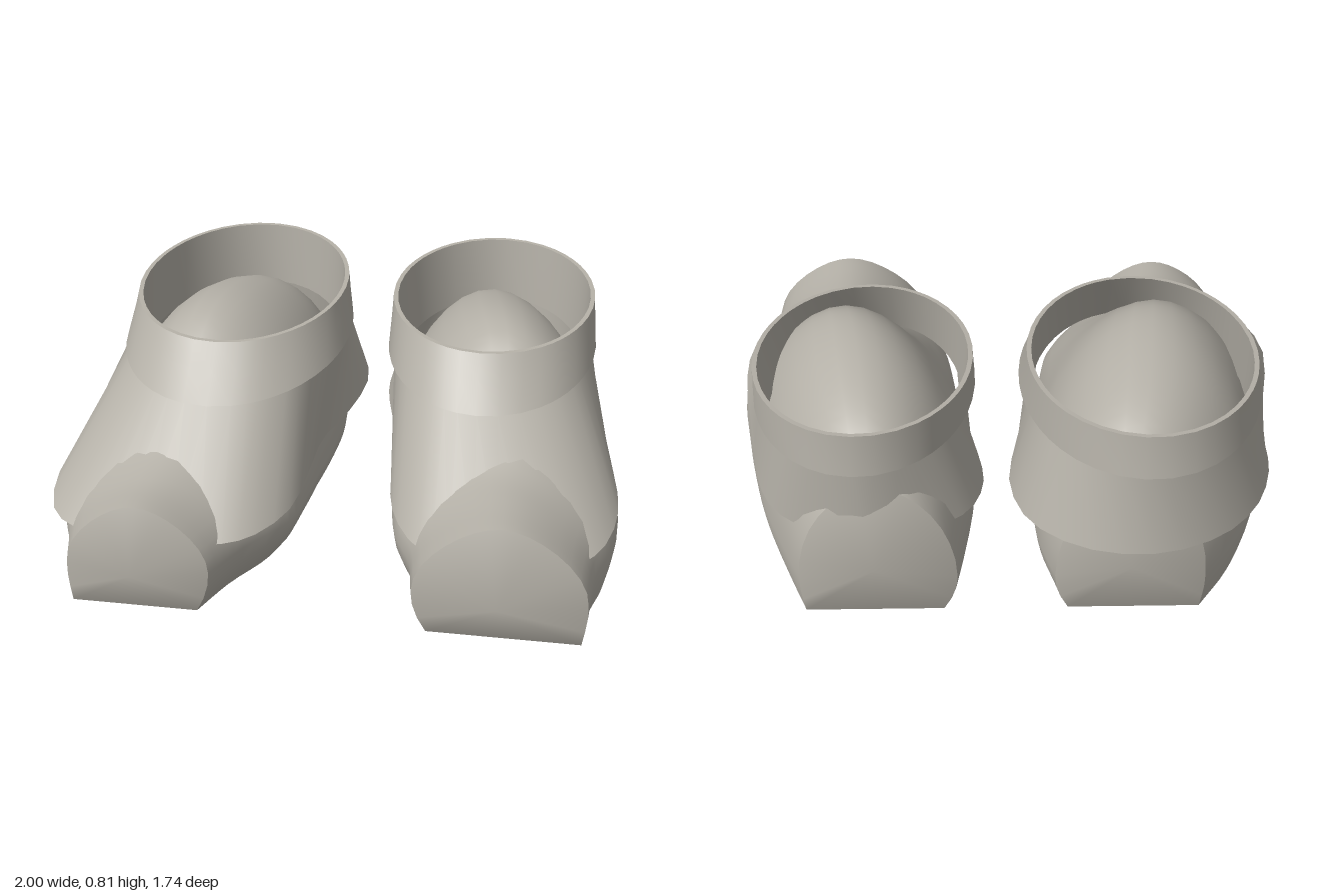
import * as THREE from 'three';

const V = (x, y, z) => new THREE.Vector3(x, y, z);
const grey = new THREE.MeshStandardMaterial({ color: 0xb4b0a7, side: THREE.DoubleSide });
grey.name = 'warm grey';

// Skins rows of points into one smooth surface
function loft(name, rows, closed = false) {
  const n = rows[0].length, index = [];
  const last = closed ? n : n - 1;
  for (let i = 0; i < rows.length - 1; i++) {
    for (let j = 0; j < last; j++) {
      const k = (j + 1) % n;
      const a = i * n + j, b = i * n + k, c = b + n, d = a + n;
      index.push(a, b, d, b, c, d);
    }
  }
  const geo = new THREE.BufferGeometry().setFromPoints(rows.flat());
  geo.setIndex(index);
  geo.computeVertexNormals();
  const mesh = new THREE.Mesh(geo, grey);
  mesh.name = name;
  return mesh;
}

// Arched cross-section, tucked in below on the inner side, from +x over the top to -x
function arch(xl, xr, h, z, outer) {
  const cx = (xl + xr) / 2, w = (xr - xl) / 2, mid = 0.15;
  // full at the heel, slimmer shoulders towards the toe
  const slim = 0.05 + 0.2 * THREE.MathUtils.smoothstep(z, -0.35, 0.15);
  const low = (side) => (side === outer
    ? [[0.95, 0], [0.98, 0.05], [1, 0.1]]
    : [[0.82, 0], [0.92, 0.05], [0.98, 0.1]]);
  const pts = low(1).map(([s, y]) => V(cx + w * s, y, z));
  for (let i = 0; i <= 16; i++) {
    const a = (Math.PI * i) / 16, sin = Math.sin(a);
    pts.push(V(cx + w * Math.cos(a) * (1 - slim * sin * sin), mid + (h - mid) * sin, z));
  }
  low(-1).reverse().forEach(([s, y]) => pts.push(V(cx - w * s, y, z)));
  return pts;
}

// Pointed cap whose normals blend into one direction at the tip
function cap(name, edge, tip, dir) {
  const tips = edge.map(() => V(...tip));
  const mesh = loft(name, dir > 0 ? [edge, tips] : [tips, edge], true);
  const normal = mesh.geometry.attributes.normal;
  const first = dir > 0 ? edge.length : 0;
  for (let i = 0; i < edge.length; i++) normal.setXYZ(first + i, 0, 0, dir);
  return mesh;
}

function shoe(name, spec) {
  const g = new THREE.Group();
  g.name = name;

  // Inner foot body, running from heel to toe on a flat sole
  const left = new THREE.CatmullRomCurve3(spec.body.map(([z, xl, , h]) => V(xl, h, z)));
  const right = new THREE.CatmullRomCurve3(spec.body.map(([z, , xr, h]) => V(xr, h, z)));
  const rows = [];
  for (let i = 0; i <= 32; i++) {
    const l = left.getPoint(i / 32), r = right.getPoint(i / 32);
    rows.push(arch(l.x, r.x, l.y, (l.z + r.z) / 2, spec.outer));
  }
  g.add(loft('footBody', rows));
  g.add(loft('sole', rows.map((r) => [r[r.length - 1], r[0]])));
  g.add(cap('heelCap', rows[0], spec.heel, -1));
  g.add(cap('toeCap', rows[32], spec.toe, 1));

  // Lower rim of the upper, and matching ellipses around the ankle
  const rim = new THREE.CatmullRomCurve3(spec.rim.map(([x, z]) => V(x, 0.275 - 0.08 * z, z)), true)
    .getPoints(44).slice(0, 44);
  const box = new THREE.Box3().setFromPoints(rim);
  const c = box.getCenter(V(0, 0, 0)), s = box.getSize(V(0, 0, 0));
  const ring = ([x0, x1, z0, z1], y0, inset = 0) => rim.map((p) => {
    const a = Math.atan2((p.x - c.x) / s.x, (p.z - c.z) / s.z);
    const x = (x0 + x1) / 2 + ((x1 - x0) / 2 - inset) * Math.sin(a);
    const z = (z0 + z1) / 2 + ((z1 - z0) / 2 - inset) * Math.cos(a);
    return V(x, y0 - 0.082 * z, z);
  });
  const tuck = ring(spec.cuffLow, 0.584, 0.02);
  g.add(loft('upper', [rim, tuck], true));

  // Ankle cuff, overhanging the upper, with a thin lip and inner lining
  const low = ring(spec.cuffLow, 0.584), top = ring(spec.cuffTop, 0.739);
  const middle = low.map((p, i) => p.clone().lerp(top[i], 0.6).setY(p.y * 0.45 + top[i].y * 0.55));
  const lip = ring(spec.cuffTop, 0.739, 0.016);
  g.add(loft('cuffHem', [tuck, low], true));
  g.add(loft('cuff', [low, middle, top], true));
  g.add(loft('cuffLip', [top, lip], true));
  g.add(loft('cuffLining', [lip, ring(spec.cuffLow, 0.5, 0.045)], true));
  return g;
}

export function createModel() {
  const model = new THREE.Group();
  model.name = 'pairOfShoes';

  // body rows: z, lower and upper x limits, height; rim points: x, z
  model.add(shoe('leftShoe', {
    outer: 1,
    body: [[-0.77, 0.18, 0.715, 0.55], [-0.6, 0.15, 0.79, 0.67], [-0.4, 0.125, 0.87, 0.735],
      [-0.15, 0.14, 0.935, 0.765], [0, 0.17, 0.965, 0.73], [0.2, 0.19, 0.995, 0.57],
      [0.43, 0.23, 0.97, 0.44], [0.6, 0.3, 0.925, 0.415], [0.78, 0.33, 0.91, 0.41]],
    heel: [0.45, 0.28, -0.87],
    toe: [0.62, 0.16, 0.87],
    rim: [[0.62, 0.71], [0.84, 0.67], [0.94, 0.55], [0.99, 0.33], [0.965, 0.05], [0.915, -0.2],
      [0.88, -0.42], [0.81, -0.6], [0.68, -0.72], [0.48, -0.8], [0.27, -0.73], [0.14, -0.63],
      [0.09, -0.48], [0.11, -0.3], [0.175, -0.03], [0.185, 0.2], [0.22, 0.42], [0.31, 0.6], [0.42, 0.69]],
    cuffLow: [0.115, 0.875, -0.825, 0.285],
    cuffTop: [0.12, 0.86, -0.81, 0.135],
  }));

  model.add(shoe('rightShoe', {
    outer: -1,
    body: [[-0.77, -0.66, -0.15, 0.55], [-0.6, -0.78, -0.1, 0.67], [-0.4, -0.87, -0.08, 0.735],
      [-0.15, -0.91, -0.09, 0.765], [0, -0.93, -0.105, 0.735], [0.2, -0.96, -0.12, 0.6],
      [0.4, -0.965, -0.15, 0.455], [0.6, -0.89, -0.27, 0.39], [0.78, -0.84, -0.35, 0.38]],
    heel: [-0.4, 0.28, -0.87],
    toe: [-0.6, 0.16, 0.86],
    rim: [[-0.6, 0.73], [-0.36, 0.71], [-0.24, 0.65], [-0.135, 0.47], [-0.11, 0.2], [-0.1, 0],
      [-0.035, -0.22], [0, -0.48], [-0.07, -0.7], [-0.25, -0.84], [-0.48, -0.87], [-0.7, -0.78],
      [-0.84, -0.62], [-0.91, -0.42], [-0.92, -0.24], [-0.95, 0], [-1, 0.35], [-0.93, 0.6], [-0.8, 0.69]],
    cuffLow: [-0.87, -0.035, -0.855, 0.35],
    cuffTop: [-0.84, -0.06, -0.83, 0.18],
  }));
  return model;
}
